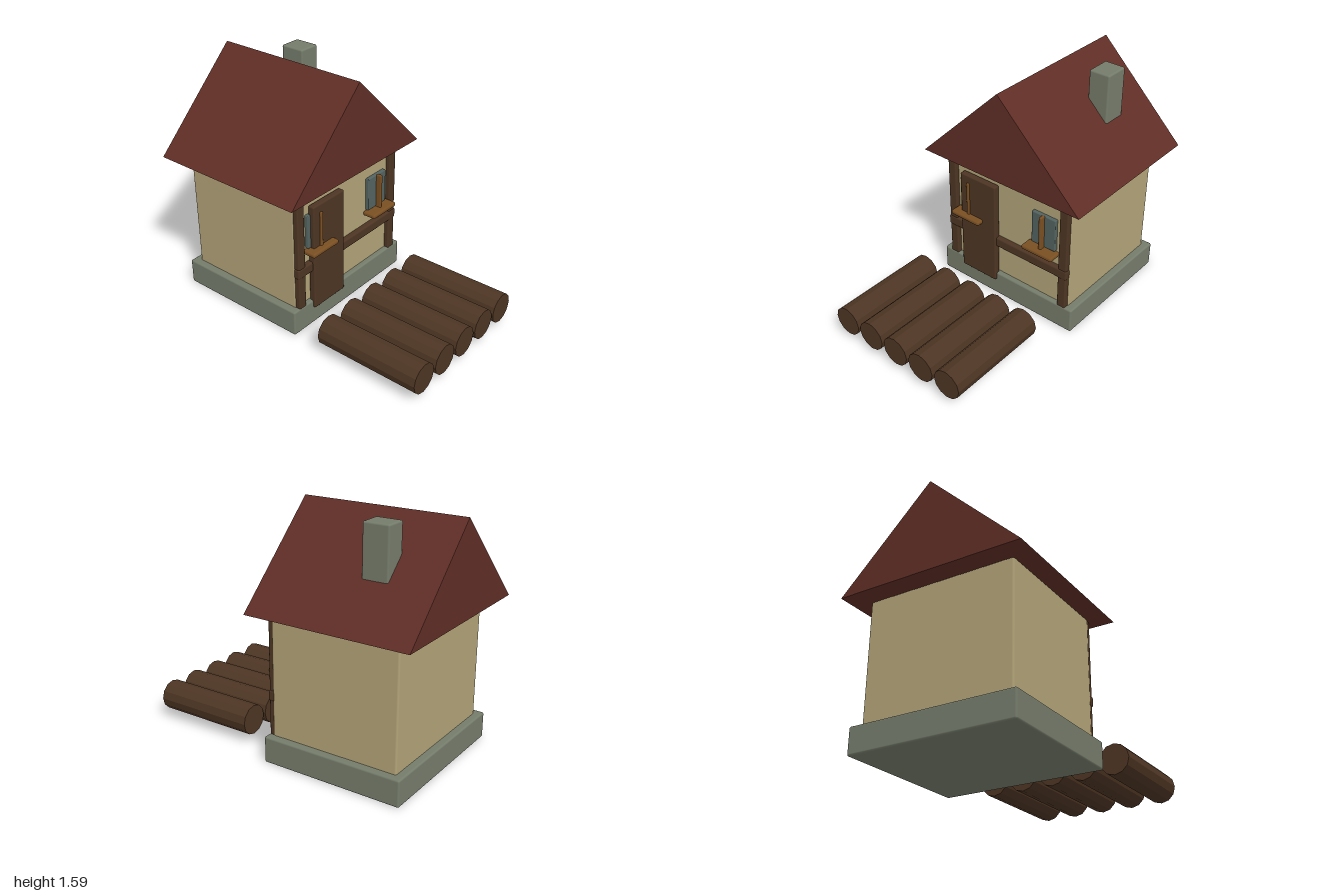
import * as THREE from 'three';
import { RoundedBoxGeometry } from 'three/addons/geometries/RoundedBoxGeometry.js';

const material = (name, color) => {
  const m = new THREE.MeshStandardMaterial({ color });
  m.name = name;
  return m;
};

export function createModel() {
  const plaster = material('plaster', 0xb2a378);
  const stone = material('stone', 0x757c6b);
  const roofRed = material('roof red', 0x602e26);
  const darkWood = material('dark wood', 0x4d3523);
  const lightWood = material('light wood', 0x7a4f22);
  const glass = material('glass', 0x536360);

  const model = new THREE.Group();
  model.name = 'cottage';

  const add = (name, geometry, mat, parent = model) => {
    const mesh = new THREE.Mesh(geometry, mat);
    mesh.name = name;
    parent.add(mesh);
    return mesh;
  };

  // Softly bevelled block given by its extents on each axis
  const block = (name, [x0, x1], [y0, y1], [z0, z1], bevel, mat, parent) => {
    const geometry = new RoundedBoxGeometry(x1 - x0, y1 - y0, z1 - z0, 2, bevel);
    const mesh = add(name, geometry, mat, parent);
    mesh.position.set((x0 + x1) / 2, (y0 + y1) / 2, (z0 + z1) / 2);
    return mesh;
  };

  // House body
  block('foundation', [-0.55, 0.55], [0, 0.175], [-0.92, 0.04], 0.012, stone);
  block('walls', [-0.5, 0.5], [0.16, 0.975], [-0.87, 0.005], 0.012, plaster);
  block('chimney', [0.205, 0.355], [1.1, 1.57], [-0.7, -0.525], 0.012, stone);

  // Gabled roof as a solid triangular prism
  const gable = new THREE.Shape([
    new THREE.Vector2(-0.625, 0.975),
    new THREE.Vector2(0.625, 0.975),
    new THREE.Vector2(0, 1.585),
  ]);
  const roof = new THREE.ExtrudeGeometry(gable, { depth: 1.115, bevelEnabled: false });
  add('roof', roof, roofRed).position.z = -1;

  // Timber framing and door
  for (const side of [-1, 1]) {
    const x = side * 0.4625;
    block('cornerPost', [x - 0.032, x + 0.032], [0.165, 0.975], [-0.01, 0.037], 0.01, darkWood);
  }
  block('crossBeam', [-0.5, 0.5], [0.4, 0.47], [-0.003, 0.042], 0.012, darkWood);
  block('door', [-0.37, -0.075], [0.12, 0.87], [0.01, 0.057], 0.01, darkWood);

  // Windows: pane, centre bar and sill
  for (const side of [-1, 1]) {
    const win = new THREE.Group();
    win.name = side < 0 ? 'rightWindow' : 'leftWindow';
    win.position.x = side * 0.302;
    model.add(win);
    block('pane', [-0.093, 0.093], [0.575, 0.81], [0, 0.03], 0.006, glass, win);
    block('mullion', [-0.011, 0.011], [0.565, 0.815], [0.025, 0.068], 0.008, lightWood, win);
    block('sill', [-0.12, 0.12], [0.543, 0.575], [0.005, 0.103], 0.013, lightWood, win);
  }

  // Row of logs lying in front of the house
  const logGeometry = new THREE.CylinderGeometry(0.1, 0.1, 0.72, 12).toNonIndexed();
  logGeometry.rotateX(Math.PI / 2);
  logGeometry.rotateZ(Math.PI / 2);
  logGeometry.computeVertexNormals();
  for (let i = 0; i < 5; i++) {
    add('log', logGeometry, darkWood).position.set(-0.505 + i * 0.215, 0.147, 0.64);
  }

  return model;
}
